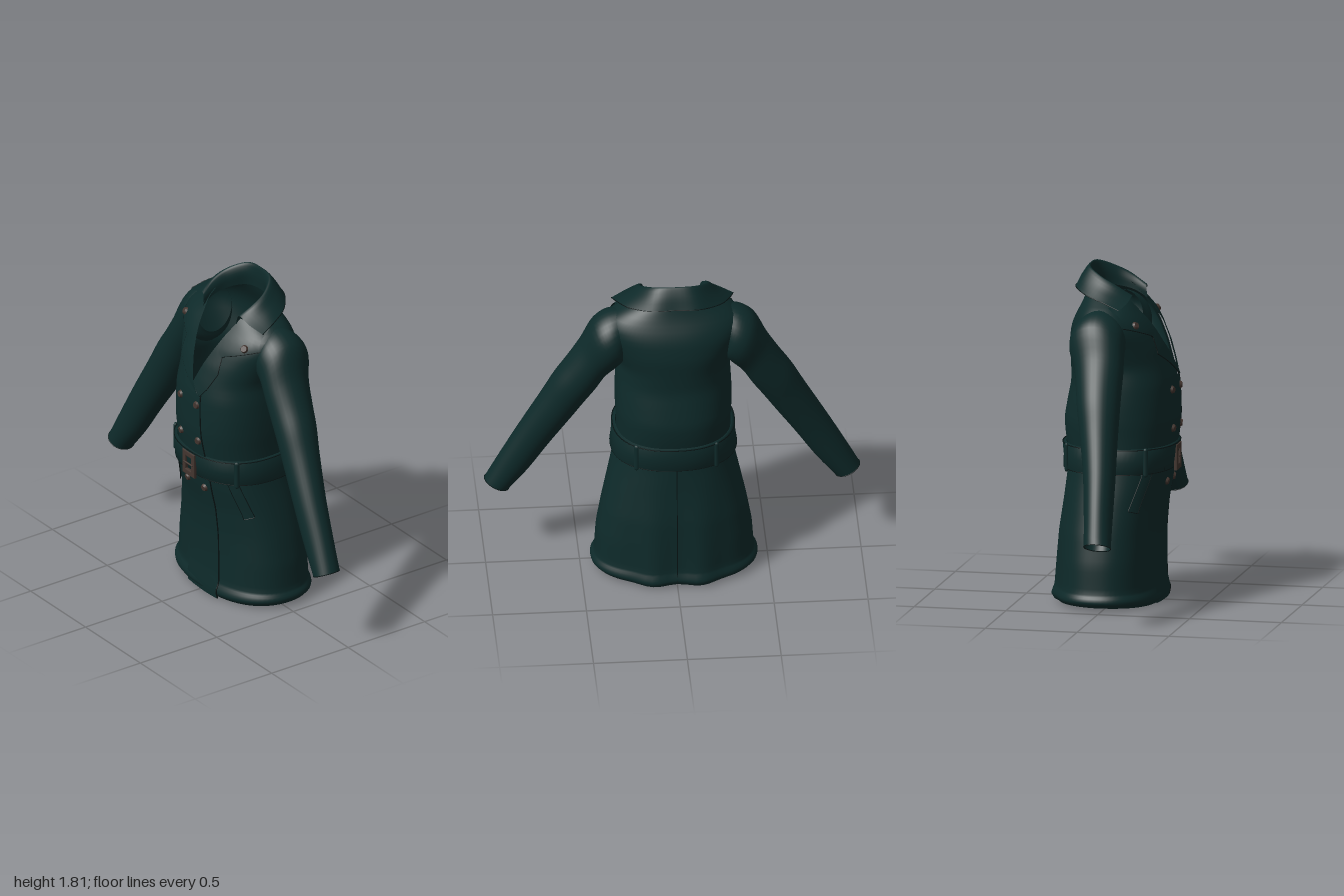
import * as THREE from 'three';

const { sin, cos, abs, sign, PI, pow, min, max, asin } = Math;
const V = (x, y, z) => new THREE.Vector3(x, y, z);
const lerp = THREE.MathUtils.lerp;

const mat = (name, color) => {
  const m = new THREE.MeshStandardMaterial({ color, side: THREE.DoubleSide });
  m.name = name;
  return m;
};

// body profile: height, half width, front z, back z
const PROFILE = [
  [0.0, 0.425, 0.235, -0.3], [0.03, 0.445, 0.255, -0.315], [0.06, 0.445, 0.25, -0.31], [0.1, 0.425, 0.235, -0.3],
  [0.25, 0.415, 0.232, -0.295], [0.4, 0.388, 0.235, -0.29], [0.55, 0.355, 0.25, -0.275],
  [0.68, 0.325, 0.28, -0.265], [0.8, 0.302, 0.295, -0.255], [0.92, 0.305, 0.312, -0.275],
  [1.0, 0.31, 0.32, -0.28], [1.1, 0.31, 0.318, -0.262], [1.2, 0.305, 0.312, -0.242],
  [1.3, 0.295, 0.29, -0.245], [1.4, 0.33, 0.258, -0.25], [1.5, 0.37, 0.21, -0.235],
  [1.56, 0.37, 0.17, -0.212], [1.6, 0.34, 0.135, -0.19], [1.64, 0.27, 0.11, -0.172], [1.7, 0.16, 0.08, -0.15],
];
const N = 2.3;
function sample(y) {
  let i = 0;
  while (i < PROFILE.length - 2 && y > PROFILE[i + 1][0]) i++;
  const a = PROFILE[i], b = PROFILE[i + 1];
  const t = min(1, max(0, (y - a[0]) / (b[0] - a[0])));
  return [1, 2, 3].map(k => lerp(a[k], b[k], t));
}
// softened profile
function section(y) {
  const e = y < 0.12 ? 0.004 : 0.02, a = sample(y - e), b = sample(y), c = sample(y + e);
  const [w, f, k] = [0, 1, 2].map(i => (a[i] + 2 * b[i] + c[i]) / 4);
  return { w, zc: (f + k) / 2, d: (f - k) / 2 };
}
// point on the body; angle 0 is the front, PI/2 is +x
function onBody(a, y, off = 0) {
  const { w, zc, d } = section(y), s = sin(a), c = cos(a);
  const x = (w + off) * sign(s) * pow(abs(s), 2 / N);
  let z = zc + (d + off) * sign(c) * pow(abs(c), 2 / N);
  // back skirt folds either side of the vent
  if (c < 0 && y < 0.7 && abs(x) < 0.26) z -= 0.03 * (1 - y / 0.7) * (0.5 - 0.5 * cos(2 * PI * x / 0.26));
  return V(x, y, z);
}
function onFront(x, y, off = 0) {
  const { w, zc, d } = section(y);
  return V(x, y, zc + off + d * pow(1 - pow(min(0.99, abs(x) / w), N), 1 / N));
}

// surface through rows of points
function grid(rows, closed = false) {
  const n = rows[0].length, idx = [], cols = closed ? n : n - 1;
  for (let r = 0; r < rows.length - 1; r++) for (let c = 0; c < cols; c++) {
    const a = r * n + c, b = r * n + (c + 1) % n;
    idx.push(a, b, b + n, a, b + n, a + n);
  }
  const g = new THREE.BufferGeometry().setFromPoints(rows.flat());
  g.setIndex(idx);
  g.computeVertexNormals();
  return g;
}
const range = (n, f) => Array.from({ length: n + 1 }, (_, i) => f(i / n, i));
// resample a polyline of [x, y]
function along(pts, t) {
  const u = t * (pts.length - 1), i = min(pts.length - 2, Math.floor(u)), k = u - i;
  return [lerp(pts[i][0], pts[i + 1][0], k), lerp(pts[i][1], pts[i + 1][1], k)];
}
// cloth panel laid on the front between two edges
const drape = (A, B, offA, offB) => grid(range((A.length - 1) * 6, t => {
  const a = along(A, t), b = along(B, t);
  return range(10, u => onFront(lerp(a[0], b[0], u), lerp(a[1], b[1], u), lerp(offA, offB, u)));
}));

export function createModel() {
  const coat = new THREE.Group();
  coat.name = 'trenchCoat';
  const cloth = mat('dark green cloth', 0x0e2a2a);
  const seamMat = mat('dark seam', 0x061414);
  const bronze = mat('dull bronze', 0x43352f);
  const add = (name, geo, m = cloth, parent = coat) => {
    const mesh = new THREE.Mesh(geo, m);
    mesh.name = name;
    parent.add(mesh);
    return mesh;
  };
  const seam = (name, pts, r = 0.003) =>
    add(name, new THREE.TubeGeometry(new THREE.CatmullRomCurve3(pts), pts.length * 3, r, 5), seamMat);

  // body shell, open in a V above the chest, with a rolled hem
  const heights = [0, 0.012, 0.025, 0.04, 0.055, 0.07, 0.085, 0.1, ...range(52, t => lerp(0.13, 1.69, t))];
  add('body', grid(heights.map(y => {
    const { w } = section(y);
    const open = max(0, min(0.15, (y - 1.27) * 0.4));
    const a0 = asin(pow(min(0.98, open / w), N / 2));
    return range(72, t => {
      const a = lerp(a0, 2 * PI - a0, t), p = onBody(a, y);
      if (y < 0.1) p.y += (1 - y / 0.1) * (0.012 + 0.018 * pow(sin(a), 2) + 0.012 * (cos(a) < 0 ? 1 : 0) * abs(cos(a)));
      return p;
    });
  })));

  // overlapping front closure
  const edge = [[0.085, 1.225], [0.1, 1.0], [0.13, 0.7], [0.14, 0.35], [0.145, 0.012]];
  add('frontOverlap', drape(edge.map(p => [-0.13, p[1]]), edge, 0.001, 0.012));
  seam('frontEdge', range(30, t => { const p = along(edge, t); return onFront(p[0], p[1], 0.009); }), 0.004);

  // wide peaked lapels
  for (const s of [1, -1]) {
    const end = s > 0 ? [[0.02, 1.29], [0.06, 1.235]] : [[0.02, 1.29], [0.085, 1.225]];
    const inner = [[0.155 * s, 1.655], [0.13 * s, 1.585], [0.105 * s, 1.51], [0.065 * s, 1.41], ...end];
    const outer = [[0.3 * s, 1.63], [0.335 * s, 1.53], [0.16 * s, 1.465], [0.165 * s, 1.37],
      s > 0 ? [0.12, 1.275] : [-0.03, 1.285], [0.08, 1.22]];
    add(s > 0 ? 'leftLapel' : 'rightLapel', drape(inner, outer, 0.018, 0.014));
    seam('lapelEdge', range(30, t => {
      const p = along(outer.slice(1), t);
      return onFront(p[0], p[1], 0.011);
    }));
  }

  // collar: stand, fold and falling leaf, from centre back to the tip
  const curve = pts => {
    const half = pts.map(p => V(...p));
    const other = half.slice(1).reverse().map(p => V(-p.x, p.y, p.z));
    return new THREE.CatmullRomCurve3([...other, ...half]);
  };
  const lines = [
    [[0, 1.69, -0.145], [0.1, 1.685, -0.12], [0.15, 1.67, -0.03], [0.158, 1.65, 0.05], [0.15, 1.61, 0.125]],
    [[0, 1.77, -0.138], [0.09, 1.765, -0.115], [0.15, 1.735, -0.04], [0.163, 1.7, 0.04], [0.15, 1.65, 0.12]],
    [[0, 1.822, -0.145], [0.1, 1.815, -0.13], [0.17, 1.775, -0.05], [0.185, 1.735, 0.03], [0.165, 1.68, 0.115]],
    [[0, 1.785, -0.175], [0.115, 1.775, -0.165], [0.205, 1.735, -0.085], [0.24, 1.7, 0.0], [0.24, 1.655, 0.105]],
    [[0, 1.715, -0.208], [0.13, 1.71, -0.202], [0.245, 1.685, -0.12], [0.3, 1.66, -0.02], [0.325, 1.625, 0.075]],
  ].map(curve);
  add('collar', grid(range(40, t => {
    const cross = new THREE.CatmullRomCurve3(lines.map(l => l.getPoint(t)));
    return range(16, u => cross.getPoint(u));
  })));
  seam('collarEdge', range(40, t => lines[4].getPoint(t)), 0.0025);

  // sleeves: outer xy, inner xy, centre z, half depth
  const RINGS = [
    [0.27, 1.625, 0.26, 1.36, -0.035, 0.11], [0.36, 1.605, 0.265, 1.325, -0.035, 0.145],
    [0.43, 1.555, 0.3, 1.285, -0.035, 0.15], [0.5, 1.41, 0.36, 1.21, -0.01, 0.132],
    [0.565, 1.3, 0.415, 1.115, 0.002, 0.122], [0.635, 1.19, 0.47, 1.03, 0.015, 0.114], [0.7, 1.065, 0.535, 0.925, 0.032, 0.102],
    [0.82, 0.84, 0.66, 0.73, 0.062, 0.086], [0.92, 0.65, 0.765, 0.565, 0.08, 0.077], [1.0, 0.49, 0.87, 0.428, 0.095, 0.072],
  ];
  const outerC = new THREE.CatmullRomCurve3(RINGS.map(r => V(r[0], r[1], r[4])));
  const innerC = new THREE.CatmullRomCurve3(RINGS.map(r => V(r[2], r[3], r[5])));
  const sleevePoint = (s, t, a) => {
    const o = outerC.getPoint(t), i = innerC.getPoint(t), k = 0.5 + 0.5 * cos(a);
    return V(s * lerp(i.x, o.x, k), lerp(i.y, o.y, k), o.z + i.z * sin(a));
  };
  for (const s of [1, -1]) {
    add(s > 0 ? 'leftSleeve' : 'rightSleeve',
      grid(range(40, t => range(31, (_, j) => sleevePoint(s, t, j / 32 * 2 * PI))), true));
    seam('cuffEdge', range(24, u => sleevePoint(s, 1, u * 2 * PI)), 0.0025);
  }

  // belt with its edges and loops
  const belt = [[0.735, 0.004], [0.738, 0.024], [0.8, 0.027], [0.865, 0.024], [0.87, 0.004]];
  add('belt', grid(belt.map(([y, off]) => range(63, (_, j) => onBody(j / 64 * 2 * PI, y, off))), true));
  for (const y of [0.737, 0.867]) seam('beltEdge', range(48, t => onBody(t * 2 * PI, y, 0.022)));
  seam('beltOverlapEdge', range(6, t => onFront(-0.16 - 0.02 * sin(t * PI), lerp(0.745, 0.86, t), 0.025)));
  for (const a of [0.95, 2.5]) for (const s of [1, -1]) {
    const p = onBody(a * s, 0.8, 0.032), q = onBody((a + 0.02) * s, 0.8, 0.032);
    const loop = add('beltLoop', new THREE.CapsuleGeometry(0.014, 0.13, 4, 8));
    loop.scale.z = 0.7;
    loop.position.copy(p);
    loop.rotation.y = -Math.atan2(q.z - p.z, q.x - p.x);
  }

  // buckle frame and prong
  const rect = (P, w, h) => {
    const p = new P();
    p.moveTo(-w, -h); p.lineTo(w, -h); p.lineTo(w, h); p.lineTo(-w, h); p.closePath();
    return p;
  };
  const frame = rect(THREE.Shape, 0.05, 0.065);
  frame.holes.push(rect(THREE.Path, 0.03, 0.043));
  const buckle = new THREE.Group();
  buckle.name = 'buckle';
  buckle.position.set(0.003, 0.79, 0.318);
  add('buckleFrame', new THREE.ExtrudeGeometry(frame,
    { depth: 0.01, bevelEnabled: true, bevelSize: 0.005, bevelThickness: 0.005, bevelSegments: 2 }), bronze, buckle);
  const prong = add('buckleProng', new THREE.CylinderGeometry(0.005, 0.005, 0.08, 8), bronze, buckle);
  prong.rotation.z = PI / 2;
  prong.position.z = 0.013;
  coat.add(buckle);

  // buttons in two columns and on the lapel peaks
  const disc = new THREE.CylinderGeometry(0.016, 0.022, 0.012, 16).rotateX(PI / 2);
  for (const [x, y, off] of [[-0.09, 1.165, 0.012], [0.065, 1.165, 0.016], [-0.08, 0.955, 0.012], [0.08, 0.955, 0.016],
    [-0.07, 0.665, 0.012], [0.085, 0.665, 0.016], [-0.27, 1.54, 0.025], [0.27, 1.54, 0.025]]) {
    const b = add('button', disc, bronze), p = onFront(x, y, off);
    b.position.copy(p);
    const px = onFront(x + 0.01, y, off).sub(p), py = onFront(x, y + 0.01, off).sub(p);
    b.lookAt(p.clone().add(px.cross(py).normalize()));
  }

  // slanted pocket welts
  for (const s of [1, -1]) {
    const a = [[0.225 * s, 0.73], [0.29 * s, 0.525]], b = [[0.265 * s, 0.735], [0.325 * s, 0.54]];
    add('pocketWelt', drape(a, b, 0.012, 0.012));
    const outline = [a[0], a[1], b[1], b[0], a[0]];
    seam('pocketEdge', range(32, t => { const p = along(outline, t); return onFront(p[0], p[1], 0.011); }), 0.0025);
  }

  // centre back vent line
  seam('backVent', range(14, t => onBody(PI, lerp(0.04, 0.72, t), 0.001)), 0.0025);
  return coat;
}
